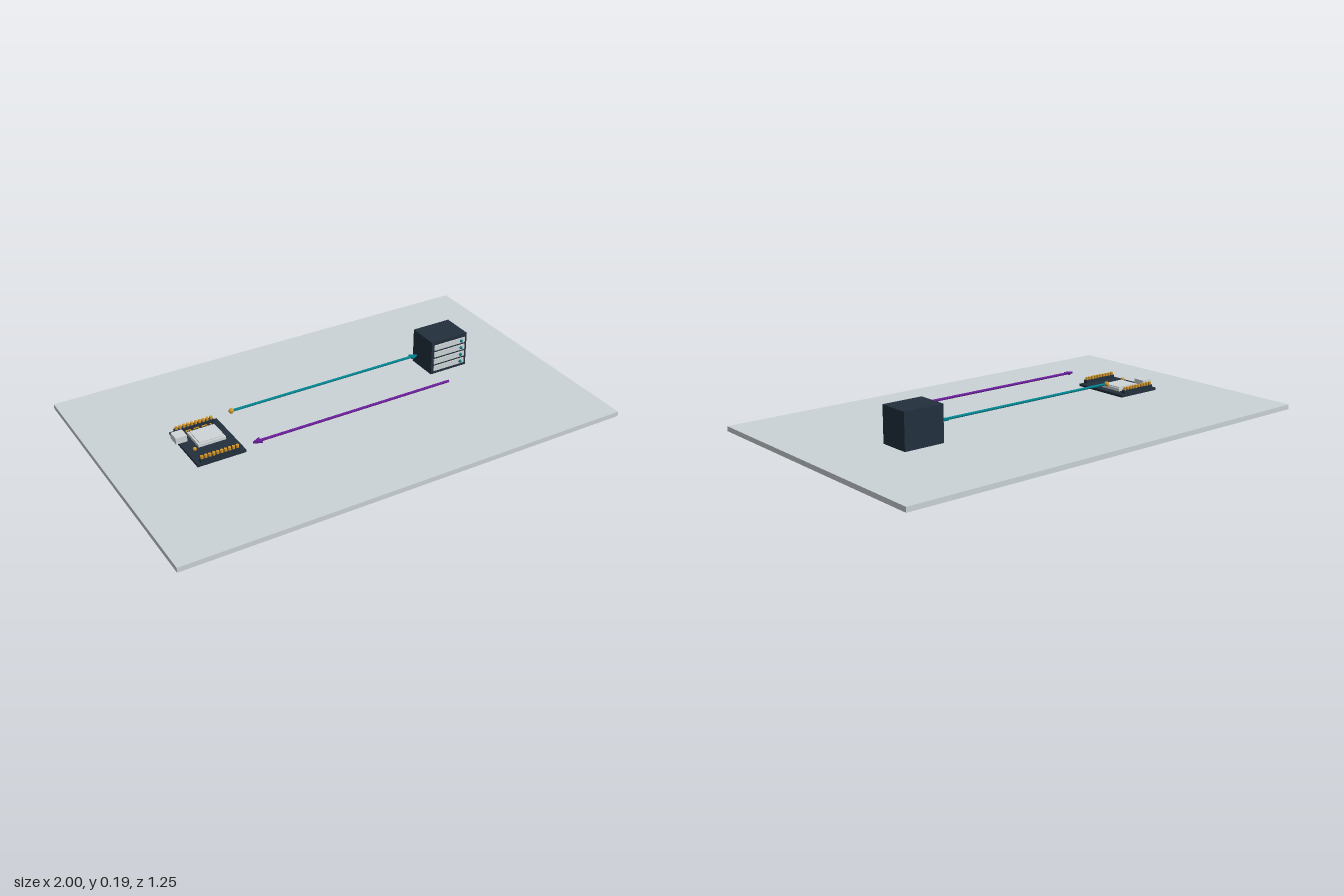
import * as THREE from 'three';

const mat = (name, color) => {
  const m = new THREE.MeshStandardMaterial({ color });
  m.name = name;
  return m;
};

export function createModel() {
  const root = new THREE.Group();
  const stone = mat('base grey', 0xcbd3d7);
  const navy = mat('dark navy', 0x22303d);
  const silver = mat('silver', 0xcfd5d8);
  const gold = mat('gold', 0xd6982b);
  const teal = mat('teal', 0x00838f);
  const purple = mat('purple', 0x6a1b9a);

  const group = (name) => {
    const g = new THREE.Group();
    g.name = name;
    root.add(g);
    return g;
  };
  const add = (parent, name, geometry, material, x, y, z) => {
    const m = new THREE.Mesh(geometry, material);
    m.name = name;
    m.position.set(x, y, z);
    parent.add(m);
    return m;
  };
  // Box given by its lower and upper limits on each axis
  const box = (parent, name, material, x0, x1, y0, y1, z0, z1) =>
    add(parent, name, new THREE.BoxGeometry(x1 - x0, y1 - y0, z1 - z0), material,
      (x0 + x1) / 2, (y0 + y1) / 2, (z0 + z1) / 2);

  // Ground slab
  box(root, 'baseSlab', stone, -1, 1, 0, 0.021, -0.623, 0.623);

  // Circuit board
  const board = group('circuitBoard');
  box(board, 'boardPlate', navy, -0.689, -0.479, 0.041, 0.052, -0.134, 0.133);
  box(board, 'chipShield', silver, -0.634, -0.514, 0.052, 0.065, -0.081, 0.026);
  box(board, 'chipLid', silver, -0.626, -0.522, 0.065, 0.069, -0.073, 0.018);
  box(board, 'usbSocket', silver, -0.702, -0.653, 0.052, 0.08, -0.089, -0.038);
  add(board, 'boardLight', new THREE.SphereGeometry(0.008, 16, 12), gold, -0.657, 0.062, 0.04);

  // Round pins in headers along both long edges
  const pin = new THREE.CylinderGeometry(0.0065, 0.0065, 0.012, 14);
  for (const z of [-0.119, 0.12]) {
    box(board, 'headerStrip', navy, -0.673, -0.502, 0.052, 0.067, z - 0.009, z + 0.009);
    for (let i = 0; i < 10; i++) add(board, 'headerPin', pin, gold, -0.664 + i * 0.017, 0.073, z);
  }

  // Flat meandering antenna behind the chip
  for (let i = 0; i < 7; i++) {
    const x = -0.628 + i * 0.018;
    box(board, 'antennaTrace', gold, x - 0.002, x + 0.002, 0.052, 0.055, -0.11, -0.09);
    if (i < 6) {
      const z = i % 2 ? -0.092 : -0.108;
      box(board, 'antennaLink', gold, x, x + 0.018, 0.052, 0.0545, z - 0.002, z + 0.002);
    }
  }

  // Server cabinet with four drawers, each with a light
  const server = group('server');
  box(server, 'cabinet', navy, 0.492, 0.674, 0.031, 0.187, -0.153, -0.012);
  for (let i = 0; i < 4; i++) {
    const y = 0.058 + i * 0.0335;
    box(server, 'drawerFront', silver, 0.504, 0.662, y - 0.012, y + 0.012, -0.012, -0.007);
    add(server, 'drawerLight', new THREE.SphereGeometry(0.007, 14, 10), teal, 0.642, y, -0.006);
  }

  // Arrow along x with a round shaft and a flat head, from tail to tip
  const arrow = (name, material, tail, tip, z) => {
    const g = group(name);
    const d = Math.sign(tip - tail), neck = tip - d * 0.034;
    const shaft = new THREE.CylinderGeometry(0.0055, 0.0055, Math.abs(neck - tail), 16);
    add(g, 'arrowShaft', shaft.rotateZ(Math.PI / 2), material, (neck + tail) / 2, 0.1, z);
    const s = new THREE.Shape();
    s.moveTo(0, -0.0175);
    s.lineTo(0.034, 0);
    s.lineTo(0, 0.0175);
    const head = new THREE.ExtrudeGeometry(s, { depth: 0.008, bevelEnabled: false });
    head.translate(0, 0, -0.004).rotateX(-Math.PI / 2);
    if (d < 0) head.rotateY(Math.PI);
    add(g, 'arrowHead', head, material, neck, 0.1, z);
    return g;
  };
  const outgoing = arrow('outgoingArrow', teal, -0.435, 0.466, -0.084);
  add(outgoing, 'startBead', new THREE.SphereGeometry(0.011, 18, 12), gold, -0.435, 0.1, -0.084);
  arrow('returnArrow', purple, 0.457, -0.466, 0.167);

  return root;
}
